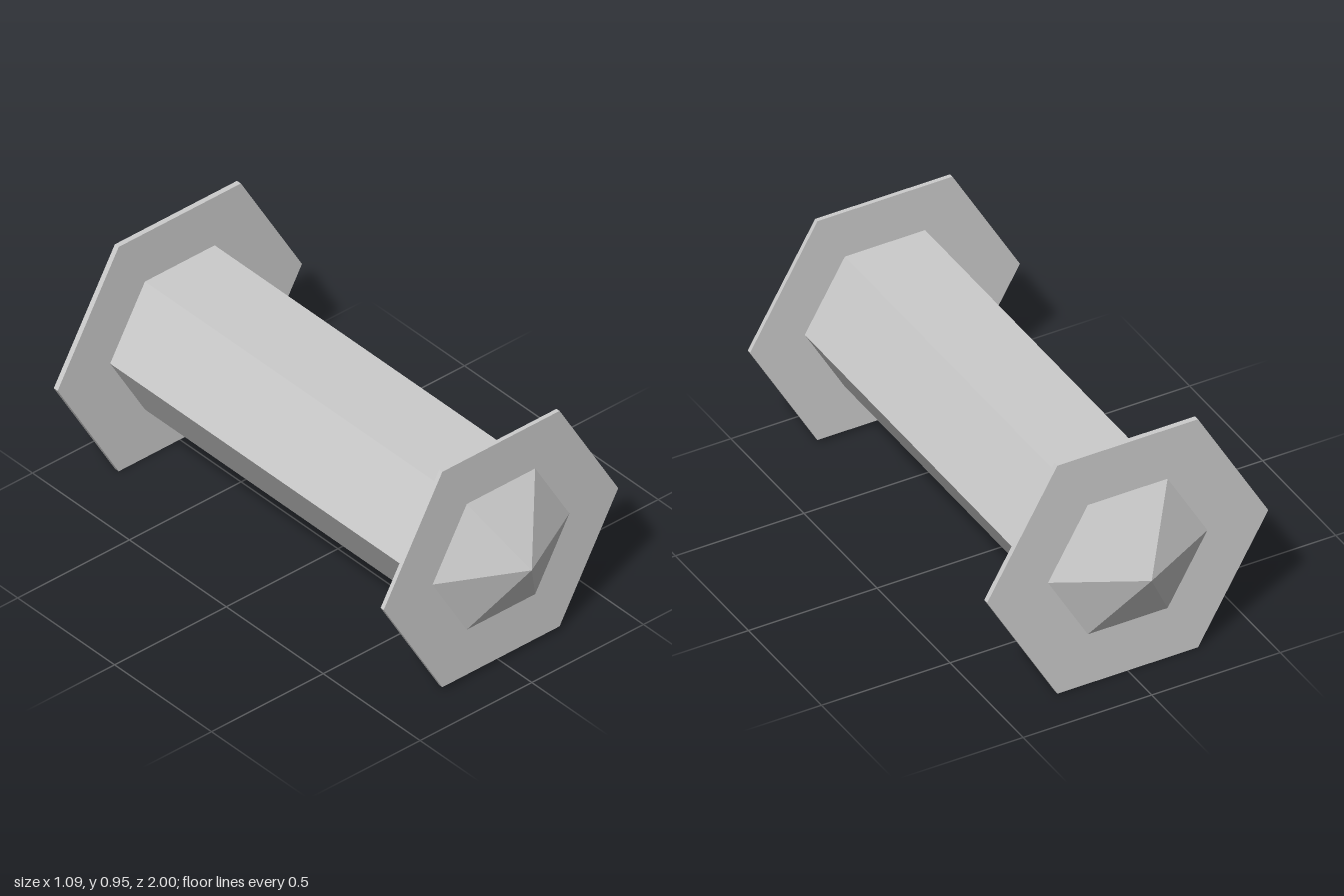
import * as THREE from 'three';

const AXIS_Y = 0.474;

export function createModel() {
  const group = new THREE.Group();
  const material = new THREE.MeshStandardMaterial({ color: 0xcccccc, flatShading: true });

  // Six-sided prism or pyramid along z, with corners on the left and right
  function hexPart(name, backRadius, frontRadius, zBack, zFront, openEnded = false) {
    const geometry = new THREE.CylinderGeometry(
      frontRadius, backRadius, zFront - zBack, 6, 1, openEnded, Math.PI / 2);
    geometry.rotateX(Math.PI / 2);
    const mesh = new THREE.Mesh(geometry, material);
    mesh.name = name;
    mesh.position.set(0, AXIS_Y, (zBack + zFront) / 2);
    group.add(mesh);
  }

  // Shaft between the flanges
  hexPart('shaft', 0.312, 0.312, -0.82, 0.83, true);

  // Thin flanges, the back one slightly larger
  hexPart('frontFlange', 0.525, 0.525, 0.825, 0.841);
  hexPart('backFlange', 0.547, 0.547, -0.836, -0.816);

  // Pointed end caps
  hexPart('frontPoint', 0.312, 0, 0.838, 1, true);
  hexPart('backPoint', 0, 0.312, -1, -0.835, true);

  return group;
}
